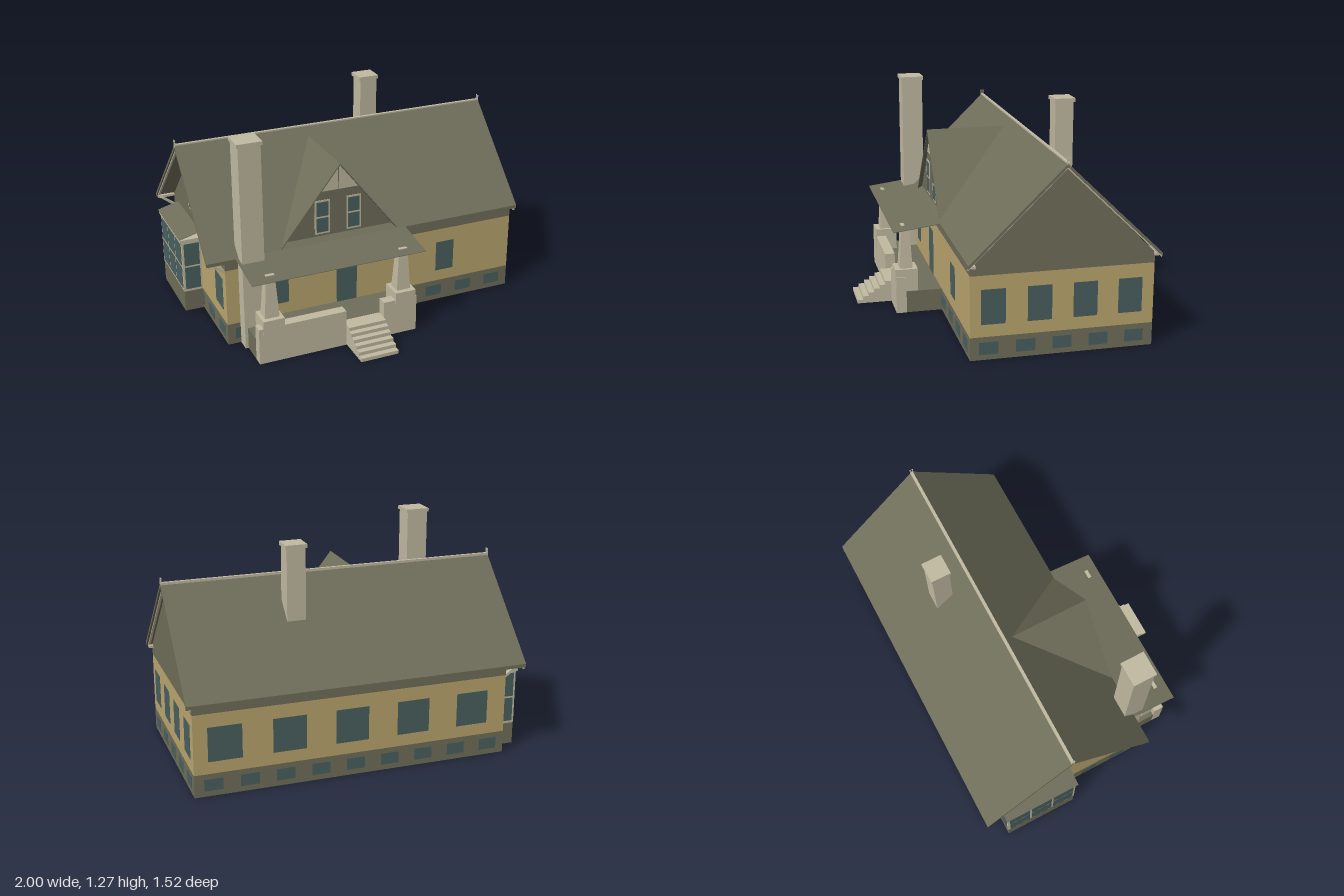
import * as THREE from 'three';

const mat = (name, color, side = THREE.FrontSide) => {
  const m = new THREE.MeshStandardMaterial({ color, side });
  m.name = name;
  return m;
};

export function createModel() {
  const house = new THREE.Group();
  house.name = 'house';
  const olive = mat('olive shingle', 0x6f6e5a, THREE.DoubleSide);
  const tan = mat('tan siding', 0xbaa66e);
  const stone = mat('pale stone', 0xc1baa1);
  const glass = mat('blue green glass', 0x4a605f);

  const add = (name, geo, m) => {
    const mesh = new THREE.Mesh(geo, m);
    mesh.name = name;
    house.add(mesh);
    return mesh;
  };
  // Box given by its limits on each axis
  const box = (name, m, x0, x1, y0, y1, z0, z1) => {
    const g = new THREE.BoxGeometry(x1 - x0, y1 - y0, z1 - z0);
    g.translate((x0 + x1) / 2, (y0 + y1) / 2, (z0 + z1) / 2);
    return add(name, g, m);
  };
  // Four thin walls without top or bottom, closed by a floor plate above
  const openBase = (name, x0, x1, y, z0, z1) => {
    const g = box(name, olive, x0, x1, 0, y, z0, z1).geometry;
    const idx = Array.from(g.index.array);
    g.setIndex([...idx.slice(0, 12), ...idx.slice(24)]);
    box(name + 'Floor', olive, x0 + 0.001, x1 - 0.001, y - 0.005, y - 0.001, z0 + 0.001, z1 - 0.001);
  };
  const shapeOf = pts => new THREE.Shape(pts.map(p => new THREE.Vector2(...p)));
  // Profile in (z, y), swept along x
  const sweepX = (name, m, pts, x0, x1) => {
    const g = new THREE.ExtrudeGeometry(shapeOf(pts), { depth: x1 - x0, bevelEnabled: false });
    g.rotateY(-Math.PI / 2).translate(x1, 0, 0);
    return add(name, g, m);
  };
  // Profile in (x, y), swept along z
  const sweepZ = (name, m, pts, z0, z1) => {
    const g = new THREE.ExtrudeGeometry(shapeOf(pts), { depth: z1 - z0, bevelEnabled: false });
    g.translate(0, 0, z0);
    return add(name, g, m);
  };
  // Thin plate on a wall: axis 'x' or 'z', plane position, span along the wall, height span
  const plate = (name, m, axis, at, u0, u1, y0, y1, t = 0.002) =>
    axis === 'z' ? box(name, m, u0, u1, y0, y1, at - t, at + t)
      : box(name, m, at - t, at + t, y0, y1, u0, u1);
  // Pale framed window with a grid of panes
  const framed = (name, axis, at, u0, u1, y0, y1, cols, rows, f = 0.011) => {
    plate(name + 'Frame', stone, axis, at, u0, u1, y0, y1, 0.002);
    const w = (u1 - u0 - f) / cols, h = (y1 - y0 - f) / rows;
    for (let i = 0; i < cols; i++) for (let j = 0; j < rows; j++)
      plate(name + 'Pane', glass, axis, at, u0 + f + i * w, u0 + (i + 1) * w,
        y0 + f + j * h, y0 + (j + 1) * h, 0.0035);
  };

  // Main body
  const L = -0.87, R = 0.96, B = -0.73, F = 0.29;
  openBase('foundation', L, R, 0.13, B, F);
  box('walls', tan, L, R, 0.13, 0.475, B, F);
  sweepX('gableWalls', olive,
    [[F, 0.475], [F, 0.535], [-0.22, 1.035], [B, 0.535], [B, 0.475]], L, R);

  // Main roof with bargeboards, ridge cap and finials
  const chevron = (top, bottom) => [
    [0.305, 0.545 - top], [-0.222, 1.06 - top], [-0.76, 0.54 - top],
    [-0.76, 0.54 - bottom], [-0.222, 1.06 - bottom], [0.305, 0.545 - bottom]];
  sweepX('mainRoof', olive, chevron(0, 0.02), -0.98, 0.996);
  for (const [x0, x1] of [[-0.972, -0.96], [0.972, 0.985]])
    sweepX('bargeboard', stone, chevron(0.018, 0.03), x0, x1);
  box('ridgeCap', stone, -0.98, 0.996, 1.05, 1.064, -0.235, -0.218);
  for (const x of [-0.977, 0.993])
    for (const z of [-0.232, -0.218])
      box('ridgeFinial', stone, x - 0.003, x + 0.003, 1.04, 1.09, z - 0.003, z + 0.003);

  // Eave beams, and braces on the wide left overhang
  for (const z of [0.275, -0.735]) {
    box('eaveBeam', stone, 0.85, 0.985, 0.522, 0.537, z - 0.012, z + 0.012);
    box('eaveBeam', stone, -0.972, L, 0.522, 0.537, z - 0.012, z + 0.012);
  }
  for (const z of [0.275, -0.715])
    sweepZ('eaveBrace', stone,
      [[L, 0.455], [L, 0.475], [-0.945, 0.53], [-0.965, 0.53]], z - 0.01, z + 0.01);

  // Windows and door in the main walls
  for (const z of [0.163, -0.092, -0.345, -0.597])
    plate('sideWindow', glass, 'x', R, z - 0.067, z + 0.067, 0.2, 0.397);
  plate('sideWindow', glass, 'x', L, 0.095, 0.23, 0.2, 0.397);
  for (let i = 0; i < 5; i++)
    plate('backWindow', glass, 'z', B, 0.69 - i * 0.362, 0.88 - i * 0.362, 0.2, 0.397);
  plate('frontWindow', glass, 'z', F, -0.596, -0.495, 0.2, 0.39);
  plate('frontWindow', glass, 'z', F, 0.457, 0.575, 0.2, 0.39);
  plate('frontDoor', glass, 'z', F, -0.195, -0.067, 0.13, 0.405);

  // Basement windows, showing on both faces of the thin walls
  for (let i = 0; i < 9; i++) {
    const x = 0.853 - i * 0.203;
    for (const z of [B, F])
      plate('basementWindow', glass, 'z', z, x - 0.053, x + 0.053, 0.032, 0.1);
  }
  for (let i = 0; i < 5; i++) {
    const z = 0.188 - i * 0.203;
    for (const x of [L, R])
      plate('basementWindow', glass, 'x', x, z - 0.053, z + 0.053, 0.03, 0.1);
  }

  // Left gable window and pale peak panel
  framed('gableWindow', 'x', L, -0.39, -0.04, 0.58, 0.79, 3, 2);
  sweepX('gablePeak', stone, [[-0.04, 0.855], [-0.222, 1.033], [-0.405, 0.855]], L - 0.005, L + 0.002);

  // Bay on the left wall
  openBase('bayFoundation', -0.985, L, 0.13, -0.635, -0.185);
  box('bayBody', stone, -0.985, L, 0.13, 0.455, -0.635, -0.185);
  framed('baySide', 'x', -0.985, -0.635, -0.185, 0.135, 0.455, 3, 2, 0.013);
  for (const z of [-0.635, -0.185])
    framed('bayEnd', 'z', z, -0.985, L, 0.135, 0.455, 1, 2, 0.011);
  box('bayCornice', stone, -0.995, L, 0.455, 0.475, -0.643, -0.177);
  sweepZ('bayRoof', olive,
    [[-1, 0.479], [L, 0.513], [L, 0.516], [-1, 0.482]], -0.645, -0.175);

  // Dormer: thin roof over a slightly recessed face
  const cx = -0.175, slope = 0.365 / 0.465, face = 0.275;
  const half = y => (1.013 - y) * slope;
  const e = half(0.548);
  sweepZ('dormerRoof', olive, [[cx - e, 0.548], [cx - e + 0.008, 0.548], [cx, 1.003],
    [cx + e - 0.008, 0.548], [cx + e, 0.548], [cx, 1.013]], -0.19, 0.3);
  sweepZ('dormerWall', olive,
    [[cx - e + 0.004, 0.548], [cx + e - 0.004, 0.548], [cx, 1.008]], -0.18, face);
  for (const s of [-1, 1]) {
    const a = cx + s * 0.003, b = cx + s * (half(0.85) - 0.005);
    const pts = [[a, 0.85], [b, 0.85], [a, 1.003]];
    sweepZ('dormerPeak', stone, s > 0 ? pts : pts.reverse(), face - 0.002, face + 0.004);
  }
  framed('dormerWindow', 'z', face + 0.001, -0.323, -0.229, 0.588, 0.797, 1, 2);
  framed('dormerWindow', 'z', face + 0.001, -0.127, -0.035, 0.588, 0.797, 1, 2);

  // Chimneys
  const chimney = (x, z, wx, wz, y0, y1) => {
    box('chimney', stone, x - wx, x + wx, y0, y1 - 0.022, z - wz, z + wz);
    box('chimneyCap', stone, x - wx - 0.008, x + wx + 0.008, y1 - 0.022, y1,
      z - wz - 0.007, z + wz + 0.007);
  };
  chimney(-0.728, 0.304, 0.065, 0.064, 0, 1.25);
  chimney(0.291, -0.397, 0.054, 0.053, 0.7, 1.27);

  // Porch floor, low walls, piers and tapered posts
  box('porchFloor', olive, -0.775, 0.19, 0, 0.13, F, 0.5);
  box('porchWall', stone, -0.775, -0.25, 0, 0.22, 0.5, 0.56);
  box('porchWall', stone, -0.015, 0.193, 0, 0.22, 0.5, 0.56);
  for (const x of [-0.685, 0.122]) {
    box('porchPier', stone, x - 0.063, x + 0.063, 0.13, 0.265, 0.43, 0.562);
    const post = new THREE.CylinderGeometry(0.026 * Math.SQRT2, 0.043 * Math.SQRT2, 0.257, 4, 1)
      .toNonIndexed();
    post.computeVertexNormals();
    post.rotateY(Math.PI / 4).scale(1, 1, 0.88).translate(x, 0.393, 0.495);
    add('porchPost', post, stone);
  }
  sweepX('porchRoof', olive,
    [[0.285, 0.545], [0.577, 0.508], [0.577, 0.511], [0.285, 0.549]], -0.81, 0.238);

  // Front steps
  for (let i = 0; i < 6; i++)
    box('step', stone, -0.248, -0.017, i * 0.0213, (i + 1) * 0.0213, 0.5, 0.765 - i * 0.034);

  return house;
}
